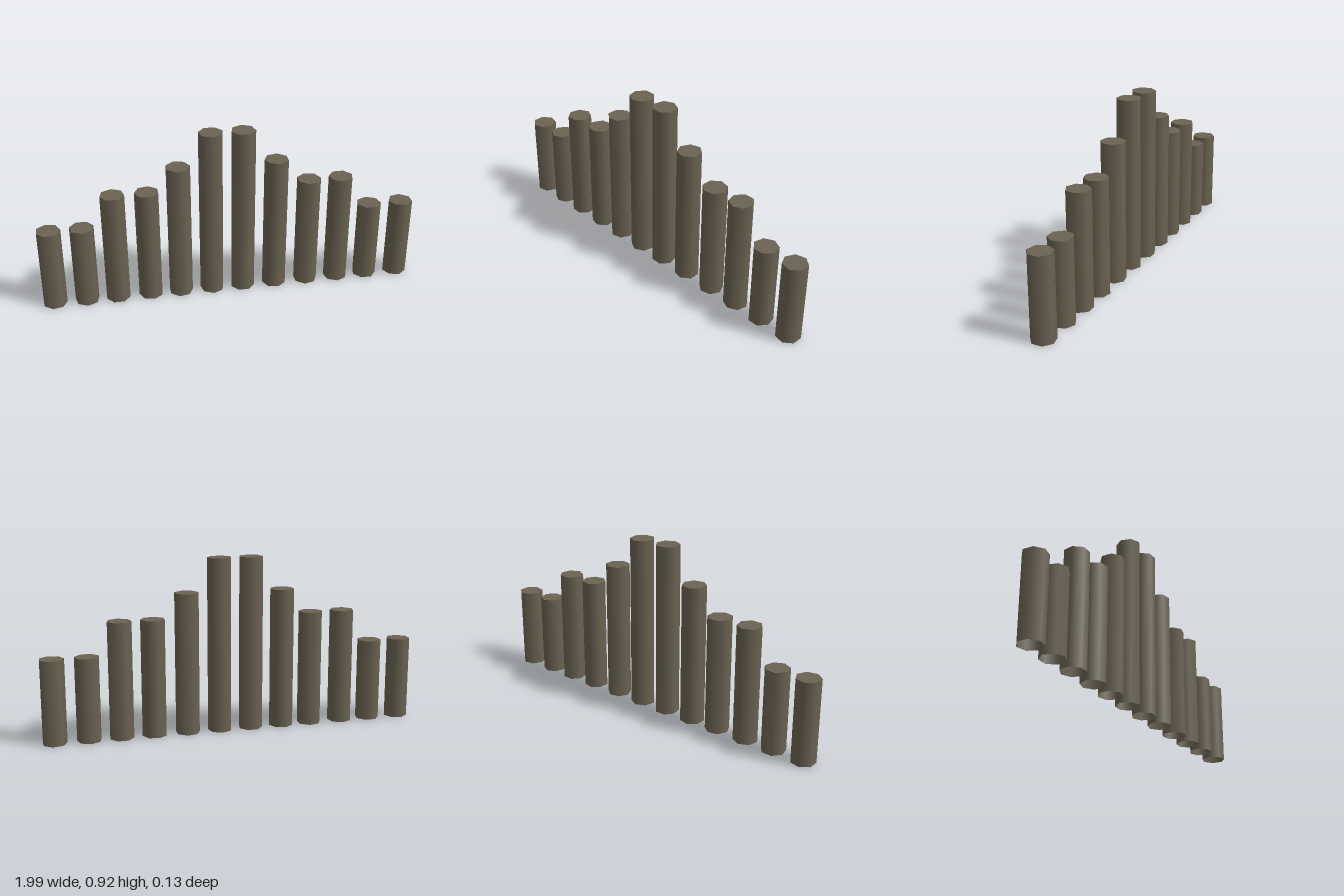
import * as THREE from 'three';

export function createModel() {
  const model = new THREE.Group();
  model.name = 'pillarRow';
  const stone = new THREE.MeshStandardMaterial({ color: 0x6b6352, side: THREE.DoubleSide });
  stone.name = 'dark stone';

  const radius = 0.064, sides = 7;
  const centers = [-0.938, -0.768, -0.603, -0.427, -0.265, -0.094, 0.072, 0.247, 0.424, 0.596, 0.762, 0.938];
  const heights = [0.44, 0.44, 0.614, 0.614, 0.743, 0.918]; // outside to middle, mirrored
  const turns = [0, 38.6, 13, 25.7]; // repeats for each group of four

  centers.forEach((x, i) => {
    const h = heights[Math.min(i, centers.length - 1 - i)];
    const pillar = new THREE.Group();
    pillar.name = `pillar${i + 1}`;
    pillar.position.x = x;
    pillar.rotation.y = THREE.MathUtils.degToRad(-turns[i % 4]);

    // smooth seven-sided wall, open underneath
    const shaft = new THREE.Mesh(
      new THREE.CylinderGeometry(radius, radius, h, sides, 1, true, Math.PI / 2), stone);
    shaft.name = 'shaft';
    shaft.position.y = h / 2;

    // flat top
    const cap = new THREE.Mesh(new THREE.CircleGeometry(radius, sides).rotateX(-Math.PI / 2), stone);
    cap.name = 'topCap';
    cap.position.y = h;
    // circle runs the other way round, but both share a corner on +x and are symmetric about it
    pillar.add(shaft, cap);
    model.add(pillar);
  });
  return model;
}
